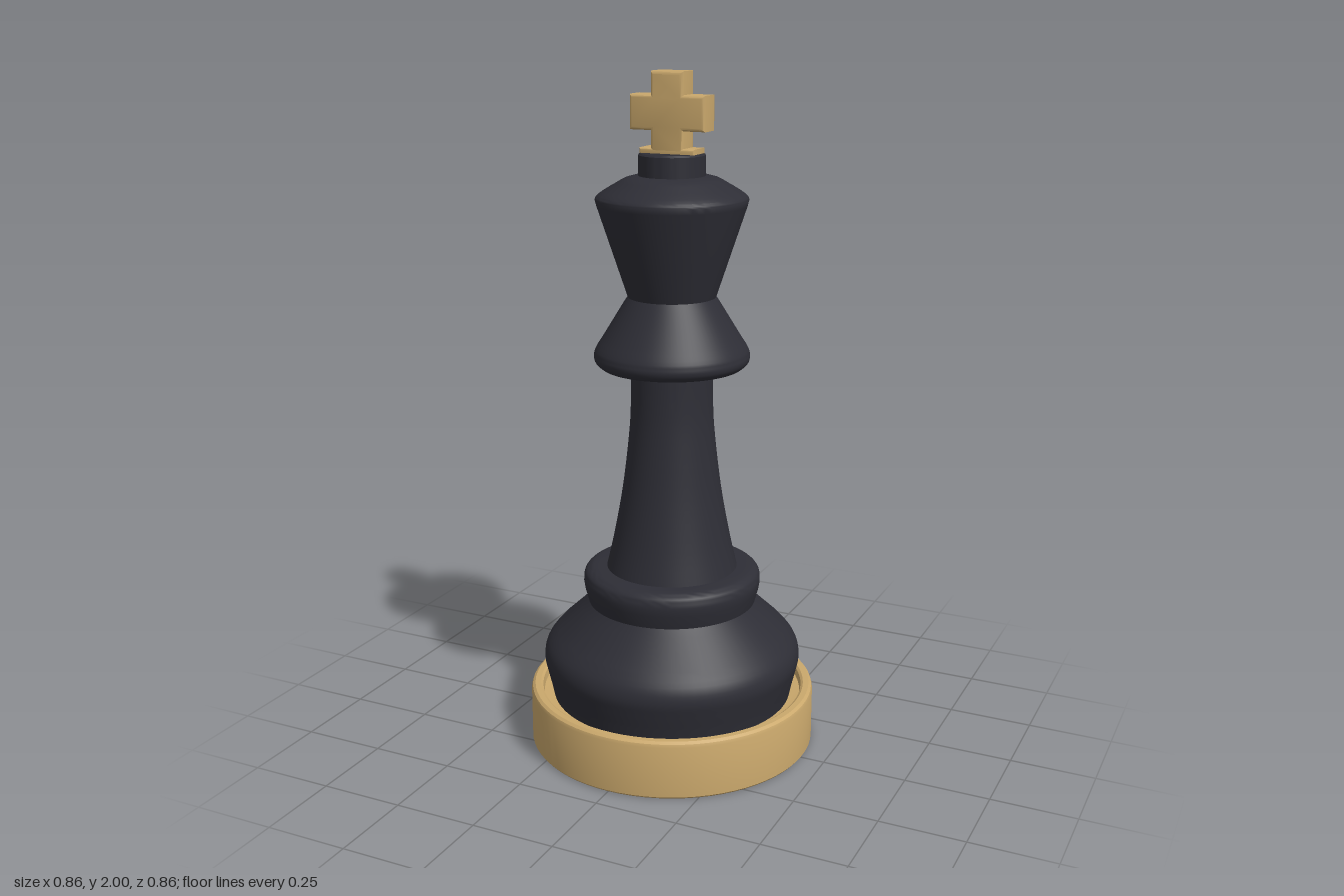
import * as THREE from 'three';
import { toCreasedNormals } from 'three/addons/utils/BufferGeometryUtils.js';

const dark = new THREE.MeshStandardMaterial({ color: 0x2e2e36 });
dark.name = 'charcoal';
const gold = new THREE.MeshStandardMaterial({ color: 0xcaa86c });
gold.name = 'gold';

// Turned part from [radius, height] pairs, listed bottom to top
function turned(name, profile, material) {
  const points = profile.map(([r, y]) => new THREE.Vector2(r, y));
  const geometry = toCreasedNormals(new THREE.LatheGeometry(points, 72), 0.6);
  const mesh = new THREE.Mesh(geometry, material);
  mesh.name = name;
  return mesh;
}

// Evenly spaced points on a smooth curve through a few profile points
function smooth(points, count) {
  const curve = new THREE.SplineCurve(points.map(([r, y]) => new THREE.Vector2(r, y)));
  return curve.getPoints(count).map((p) => [p.x, p.y]);
}

// Bevelled flat part facing the front, from half an outline mirrored in x
function plate(name, half, depth, bevel) {
  const outline = [...half, ...half.map(([x, y]) => [-x, y]).reverse()];
  const shape = new THREE.Shape(outline.map(([x, y]) => new THREE.Vector2(x, y)));
  const geometry = new THREE.ExtrudeGeometry(shape, {
    depth: depth - 2 * bevel,
    bevelEnabled: true,
    bevelSize: bevel,
    bevelOffset: -bevel,
    bevelThickness: bevel,
    bevelSegments: 3,
  });
  geometry.translate(0, 0, bevel - depth / 2);
  const mesh = new THREE.Mesh(toCreasedNormals(geometry, 0.7), gold);
  mesh.name = name;
  return mesh;
}

export function createModel() {
  const model = new THREE.Group();
  model.name = 'chessKing';

  // Gold foot with a rounded rim and a shallow groove around the body
  model.add(turned('base', [
    [0, 0], [0.426, 0], [0.43, 0.005], [0.43, 0.16], [0.427, 0.169], [0.419, 0.175],
    [0.402, 0.175], [0.395, 0.17], [0.391, 0.15], [0.35, 0.145], [0, 0.145],
  ], gold));

  // Bulging lower body
  model.add(turned('lowerBody', [
    [0.36, 0.14],
    ...smooth([[0.368, 0.18], [0.38, 0.23], [0.387, 0.27], [0.377, 0.31], [0.345, 0.35]], 14),
    [0.27, 0.42], [0.25, 0.445],
  ], dark));

  // Rounded collar on the lower body
  model.add(turned('lowerCollar', [
    [0.25, 0.44], [0.262, 0.485],
    ...smooth([[0.265, 0.505], [0.262, 0.53], [0.245, 0.546], [0.22, 0.55]], 9),
    [0, 0.55],
  ], dark));

  // Flared stem
  model.add(turned('stem', smooth([
    [0.196, 0.545], [0.172, 0.65], [0.145, 0.8], [0.125, 0.97], [0.12, 1.07], [0.12, 1.18],
  ], 20), dark));

  // Skirt-shaped upper collar
  model.add(turned('upperCollar', [
    [0, 1.158], [0.185, 1.16],
    ...smooth([[0.207, 1.165], [0.223, 1.18], [0.226, 1.2], [0.219, 1.22], [0.2, 1.25]], 10),
    [0.142, 1.345], [0.126, 1.37],
  ], dark));

  // Flaring head with a low domed top
  model.add(turned('head', [
    [0.126, 1.365], [0.214, 1.63],
    ...smooth([[0.218, 1.646], [0.21, 1.659], [0.16, 1.69], [0.115, 1.71], [0, 1.722]], 12),
  ], dark));

  // Knob under the cross
  model.add(turned('knob', [
    [0.095, 1.69], [0.095, 1.77], [0.09, 1.775], [0, 1.775],
  ], dark));

  // Cross standing on a small foot plate
  const finial = new THREE.Group();
  finial.name = 'crossFinial';
  finial.add(plate('crossFoot', [[0.085, 1.768], [0.085, 1.79]], 0.075, 0.006));
  finial.add(plate('cross', [
    [0.05, 1.775], [0.05, 1.838], [0.115, 1.838], [0.115, 1.936], [0.05, 1.936], [0.05, 2],
  ], 0.075, 0.009));
  model.add(finial);

  return model;
}
